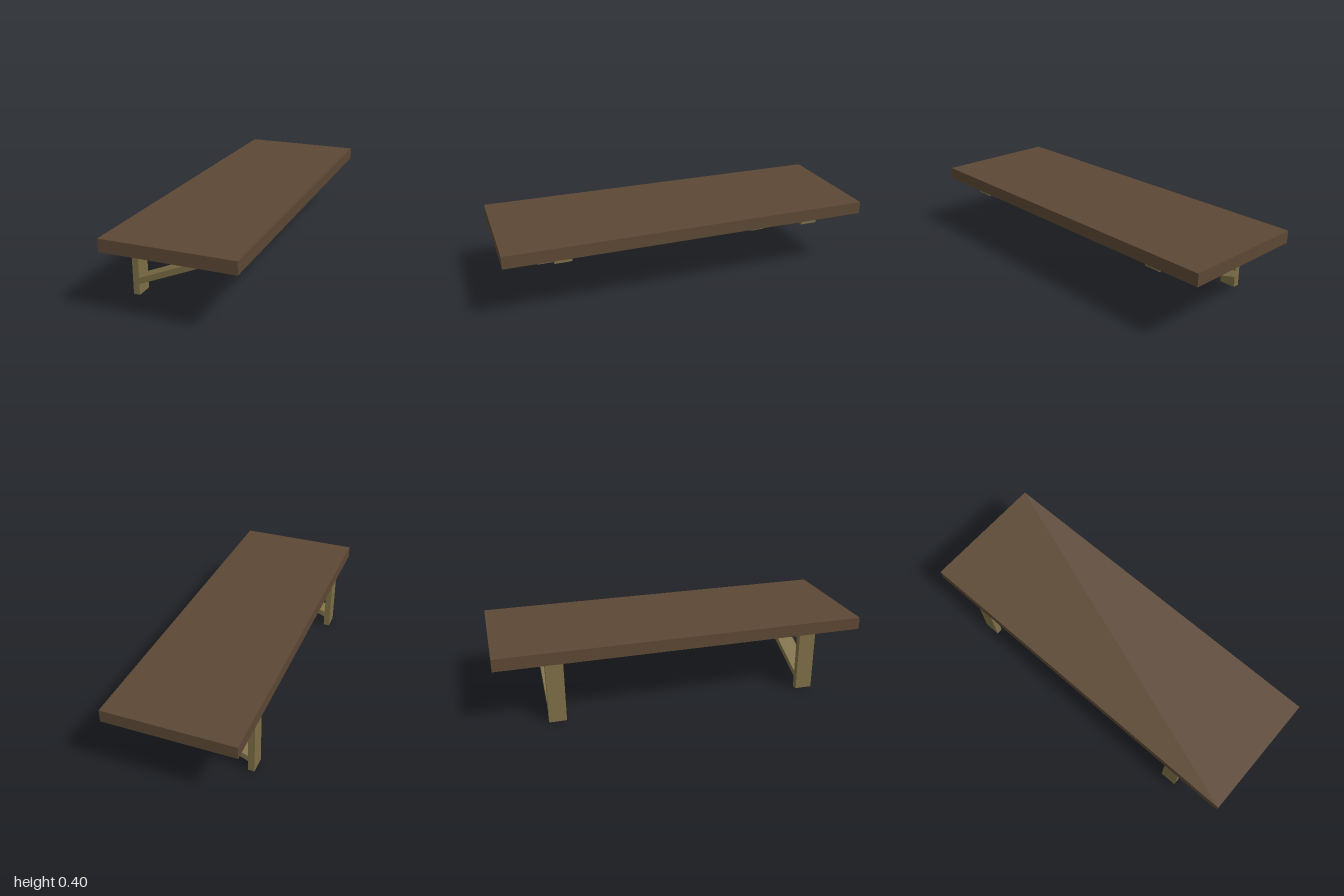
import * as THREE from 'three';

const plankMat = new THREE.MeshStandardMaterial({ color: 0x5c4834 });
const bracketMat = new THREE.MeshStandardMaterial({ color: 0x7d6e46 });

// Box given by its limits in x and y, centred on z = 0
function beam(name, x0, x1, y0, y1, depth, material) {
  const mesh = new THREE.Mesh(new THREE.BoxGeometry(x1 - x0, y1 - y0, depth), material);
  mesh.position.set((x0 + x1) / 2, (y0 + y1) / 2, 0);
  mesh.name = name;
  return mesh;
}

// Triangular bracket: wall post, top rail and a mitred diagonal brace
function makeBracket(name, z) {
  const depth = 0.092;
  const bracket = new THREE.Group();
  bracket.name = name;
  bracket.add(beam('post', -0.331, -0.296, 0, 0.331, depth, bracketMat));
  bracket.add(beam('topRail', -0.296, 0.312, 0.299, 0.331, depth, bracketMat));

  const outline = new THREE.Shape([
    new THREE.Vector2(-0.296, 0.06),
    new THREE.Vector2(0.266, 0.299),
    new THREE.Vector2(0.186, 0.299),
    new THREE.Vector2(-0.296, 0.094),
  ]);
  const geometry = new THREE.ExtrudeGeometry(outline, { depth, bevelEnabled: false });
  geometry.translate(0, 0, -depth / 2);
  const brace = new THREE.Mesh(geometry, bracketMat);
  brace.name = 'diagonalBrace';
  bracket.add(brace);

  bracket.position.z = z;
  return bracket;
}

export function createModel() {
  const model = new THREE.Group();
  model.name = 'wallShelf';
  model.add(beam('shelfBoard', -0.347, 0.347, 0.331, 0.398, 2, plankMat));
  model.add(makeBracket('frontBracket', 0.696));
  model.add(makeBracket('backBracket', -0.696));
  return model;
}
